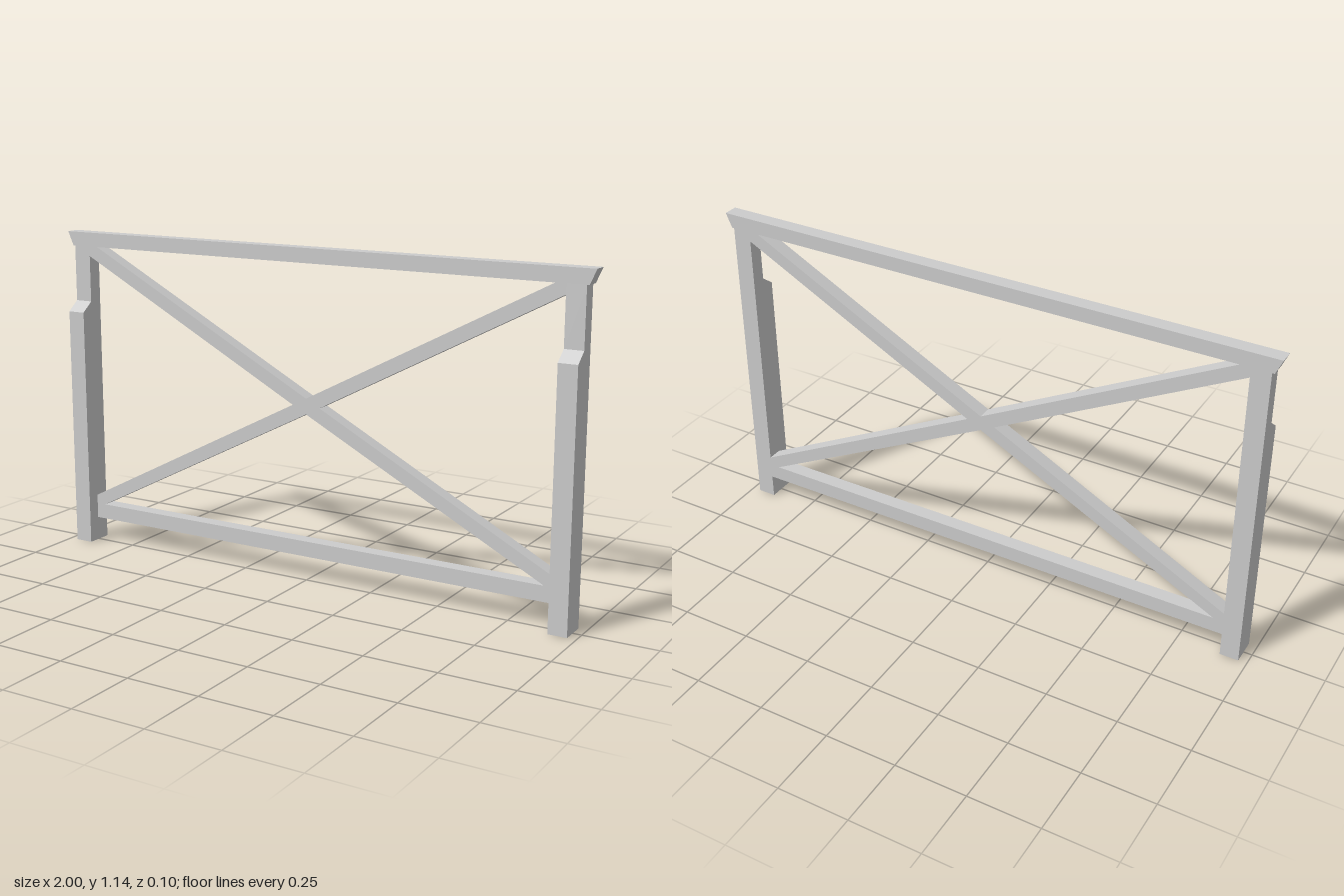
import * as THREE from 'three';

const BACK = -0.048, MID = 0.003, FRONT = 0.048;
const POST_IN = 0.905, POST_OUT = 0.97;
const RAIL_LOW = 1.093, RAIL_TOP = 1.143;

const material = new THREE.MeshStandardMaterial({ color: 0xcccccc, flatShading: true });

// Extrude a 2D outline along +z
function extrude(points, depth) {
  const shape = new THREE.Shape(points.map(([x, y]) => new THREE.Vector2(x, y)));
  return new THREE.ExtrudeGeometry(shape, { depth, bevelEnabled: false });
}

export function createModel() {
  const group = new THREE.Group();
  const add = (name, geometry) => {
    const mesh = new THREE.Mesh(geometry, material);
    mesh.name = name;
    group.add(mesh);
  };
  // Panel pieces share the rear layer of the frame
  const addPanel = (name, points) =>
    add(name, extrude(points, MID - BACK).translate(0, 0, BACK));

  // Posts: thick below, sloped shoulder, thin above; side profile extruded across x
  const profile = [
    [-FRONT, 0], [-BACK, 0], [-BACK, RAIL_LOW], [-MID, RAIL_LOW], [-MID, 0.895], [-FRONT, 0.86],
  ];
  for (const [name, x] of [['leftPost', POST_IN], ['rightPost', -POST_OUT]]) {
    add(name, extrude(profile, POST_OUT - POST_IN).rotateY(Math.PI / 2).translate(x, 0, 0));
  }

  // Top rail with undercut ends
  addPanel('topRail', [[-0.978, RAIL_LOW], [0.978, RAIL_LOW], [1, RAIL_TOP], [-1, RAIL_TOP]]);

  // Bottom rail between the posts
  const low = 0.085, high = 0.139;
  addPanel('bottomRail', [[-POST_IN, low], [POST_IN, low], [POST_IN, high], [-POST_IN, high]]);

  // Crossed braces as one outline, its arms trimmed into the frame corners
  const half = [
    [0, 0.585], [0.87, high], [POST_IN, high], [POST_IN, 0.171], [0.052, 0.612],
    [POST_IN, 1.059], [POST_IN, RAIL_LOW], [0.87, RAIL_LOW], [0, 0.639],
  ];
  const mirrored = half.slice(1, -1).reverse().map(([x, y]) => [-x, y]);
  addPanel('crossBrace', [...half, ...mirrored]);

  return group;
}
